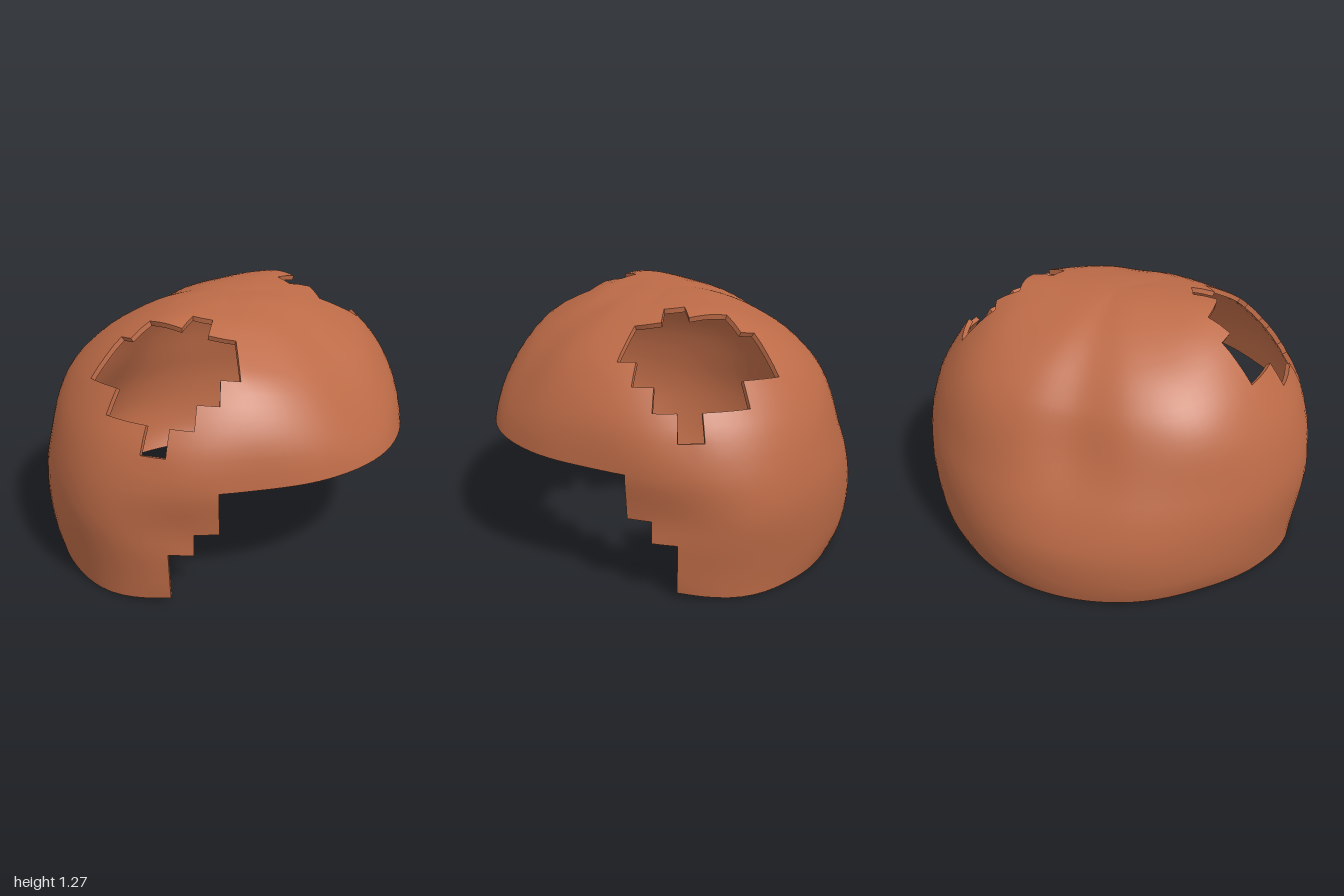
import * as THREE from 'three';

// Profiles from crown to lower edge as [radius, height] per latitude line
const back = [[0, 1.265], [.13, 1.255], [.25, 1.22], [.36, 1.17], [.45, 1.11], [.53, 1.045], [.6, .965], [.645, .9], [.685, .81],
  [.725, .72], [.78, .62], [.84, .51], [.885, .39], [.91, .28], [.905, .17], [.89, .08], [.87, .01]];
const backCorner = [[0, 1.265], [.13, 1.265], [.25, 1.245], [.37, 1.21], [.49, 1.16], [.6, 1.1], [.69, 1.03], [.765, .95], [.82, .86],
  [.86, .75], [.89, .62], [.918, .5], [.93, .39], [.93, .28], [.92, .17], [.9, .08], [.87, .01]];
const side = [[0, 1.265], [.13, 1.27], [.25, 1.265], [.37, 1.26], [.49, 1.245], [.61, 1.19], [.7, 1.11], [.79, 1.01], [.865, .9],
  [.935, .78], [.985, .62], [1, .5], [1, .39], [.985, .28], [.965, .17], [.95, .08], [.94, 0]];
const frontSide = [[0, 1.265], [.13, 1.27], [.25, 1.26], [.37, 1.25], [.49, 1.22], [.61, 1.165], [.7, 1.095], [.79, 1], [.86, .9],
  [.92, .78], [.948, .62], [.93, .5], [.91, .39], [.91, .28], [.9, .17], [.89, .08], [.88, .03]];
const frontCorner = [[0, 1.265], [.13, 1.265], [.25, 1.25], [.37, 1.235], [.49, 1.185], [.6, 1.13], [.7, 1.07], [.78, .98], [.84, .88],
  [.878, .77], [.893, .62], [.88, .5], [.87, .39], [.86, .28], [.85, .17], [.83, .1], [.82, .06]];
const front = [[0, 1.265], [.13, 1.265], [.25, 1.245], [.37, 1.205], [.49, 1.145], [.6, 1.065], [.695, .975], [.77, .885], [.83, .8],
  [.88, .715], [.915, .62], [.91, .5], [.9, .39], [.9, .28], [.9, .17], [.9, .08], [.9, 0]];

// Profiles every 22.5 degrees, one beyond the back to one beyond the front
const mix = (p, q, t) => p.map(([r, y], i) => [r + (q[i][0] - r) * t, y + (q[i][1] - y) * t]);
const backQuarter = mix(back, backCorner, 0.5), frontQuarter = mix(frontCorner, front, 0.5);
const profiles = [backQuarter, back, backQuarter, backCorner, mix(side, backCorner, 0.42), side,
  frontSide, frontCorner, frontQuarter, front, frontQuarter];

const LINES = 16, COLS = 48, SUB = 2, STEP = 7.5, START = -18.75, THICK = 0.025;
// First and last latitude line of the side hole, per column from back to front
const hole = [[5, 7], [4, 7], [4, 8], [4, 8], [3, 9], [3, 8], [4, 7], [4, 6]];

const spline = (a, b, c, d, t) =>
  b + 0.5 * t * (c - a + t * (2 * a - 5 * b + 4 * c - d + t * (3 * (b - c) + d - a)));

// Angles folded onto one side: -90 is the back, 0 the side, 90 the front
const fold = deg => THREE.MathUtils.radToDeg(Math.asin(Math.sin(THREE.MathUtils.degToRad(deg))));

function pointOnShell(deg, line) {
  const u = fold(deg) / 22.5 + 5;
  const k = Math.min(8, Math.max(1, Math.floor(u)));
  const i = Math.min(LINES - 1, Math.floor(line));
  const along = (profile, c) => {
    const at = n => n < 0 ? (c ? profile[1][1] : -profile[1][0]) : profile[Math.min(LINES, n)][c];
    return spline(at(i - 1), at(i), at(i + 1), at(i + 2), line - i);
  };
  const value = c => spline(...[-1, 0, 1, 2].map(n => along(profiles[k + n], c)), u - k);
  const r = value(0), a = THREE.MathUtils.degToRad(deg);
  return [r * Math.cos(a), value(1), r * Math.sin(a)];
}

// Stepped outline of the lower edge and the two side holes
function isSolid(deg, line) {
  const b = fold(deg);
  const lower = b > 33.75 ? 10 : b > 26.25 ? 12 : b > 18.75 ? 13 : LINES;
  if (line > lower) return false;
  const gap = hole[Math.floor((b - START) / STEP)];
  return !(gap && line > gap[0] && line < gap[1]);
}

function makeGeometry(positions, index) {
  const g = new THREE.BufferGeometry();
  g.setAttribute('position', new THREE.Float32BufferAttribute(positions, 3));
  if (index) g.setIndex(index);
  g.computeVertexNormals();
  return g;
}

export function createModel() {
  const group = new THREE.Group();
  group.name = 'shellCap';
  const clay = new THREE.MeshStandardMaterial({ color: 0xbd6b47 });
  clay.name = 'terracotta';
  const add = (name, geometry) => {
    const mesh = new THREE.Mesh(geometry, clay);
    mesh.name = name;
    group.add(mesh);
  };

  // Outer surface, with a single vertex at the crown
  const cols = COLS * SUB, rows = LINES * SUB;
  const positions = [0, side[0][1], 0], faces = [];
  for (let i = 1; i <= rows; i++)
    for (let j = 0; j < cols; j++) positions.push(...pointOnShell(START + j * STEP / SUB, i / SUB));
  const id = (i, j) => i === 0 ? 0 : 1 + (i - 1) * cols + j % cols;
  for (let i = 0; i < rows; i++) {
    for (let j = 0; j < cols; j++) {
      if (!isSolid(START + (j + 0.5) * STEP / SUB, (i + 0.5) / SUB)) continue;
      const a = id(i, j), b = id(i, j + 1), c = id(i + 1, j + 1), d = id(i + 1, j);
      if (i > 0) faces.push(a, b, d);
      faces.push(b, c, d);
    }
  }
  const outer = makeGeometry(positions, faces);
  add('outerShell', outer);

  // Inner surface, moved inwards along the normals and turned round
  const normals = outer.attributes.normal.array;
  const innerPositions = positions.map((p, n) => p - normals[n] * THICK);
  const innerFaces = [];
  for (let n = 0; n < faces.length; n += 3) innerFaces.push(faces[n], faces[n + 2], faces[n + 1]);
  add('innerShell', makeGeometry(innerPositions, innerFaces));

  // Rim walls along every open edge
  const edges = new Set();
  const eachEdge = visit => {
    for (let n = 0; n < faces.length; n += 3)
      for (let e = 0; e < 3; e++) visit(faces[n + e], faces[n + (e + 1) % 3]);
  };
  eachEdge((a, b) => edges.add(a + '_' + b));
  const rim = [];
  eachEdge((a, b) => {
    if (edges.has(b + '_' + a)) return;
    const out = v => positions.slice(v * 3, v * 3 + 3);
    const inn = v => innerPositions.slice(v * 3, v * 3 + 3);
    rim.push(...out(b), ...out(a), ...inn(a), ...out(b), ...inn(a), ...inn(b));
  });
  add('rim', makeGeometry(rim));
  return group;
}
